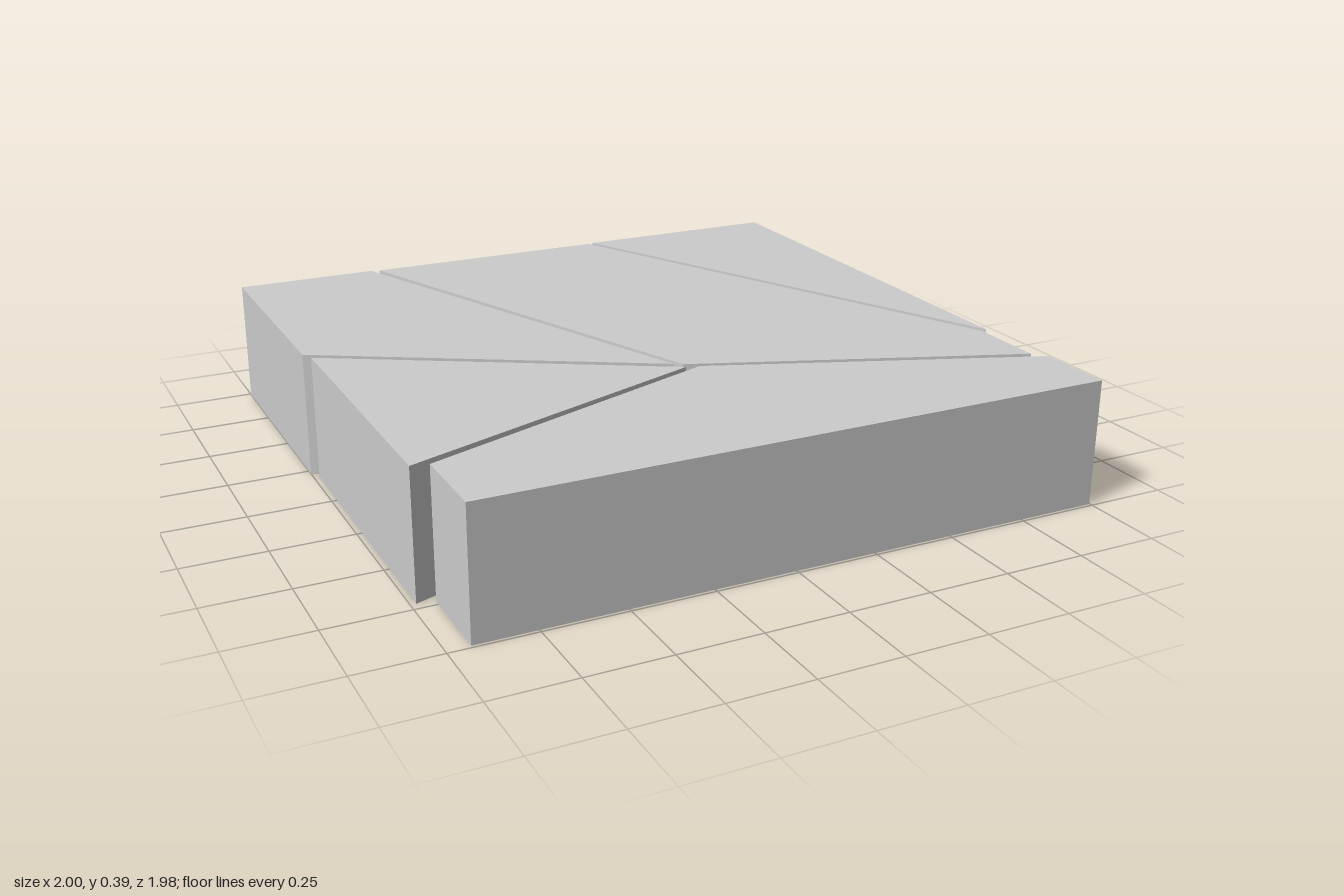
import * as THREE from 'three';

const HEIGHT = 0.387;

// Plan outlines of the slabs as [x, z] corners
const SLABS = {
  backRightSlab: [[-1, -0.993], [-0.547, -0.993], [-0.04, 0.33], [-1, -0.225]],
  centreSlab: [[-0.52, -0.985], [0.28, -0.985], [0.963, 0.476], [0.963, 0.715], [-0.015, 0.345]],
  leftSlab: [[0.298, -0.99], [0.985, -0.99], [0.985, 0.468]],
  rightSlab: [[-0.984, -0.188], [-0.02, 0.37], [-0.984, 0.722]],
  frontSlab: [[-0.933, 0.732], [0.02, 0.38], [0.998, 0.755], [0.998, 0.99], [-0.933, 0.99]],
};

export function createModel() {
  const group = new THREE.Group();
  group.name = 'crackedStoneTile';
  const material = new THREE.MeshStandardMaterial({ color: 0xcccccc, flatShading: true });

  // Each slab is its outline raised straight up from the ground
  for (const [name, corners] of Object.entries(SLABS)) {
    const shape = new THREE.Shape(corners.map(([x, z]) => new THREE.Vector2(x, -z)));
    const geometry = new THREE.ExtrudeGeometry(shape, { depth: HEIGHT, bevelEnabled: false });
    geometry.rotateX(-Math.PI / 2);
    const slab = new THREE.Mesh(geometry, material);
    slab.name = name;
    group.add(slab);
  }
  return group;
}
